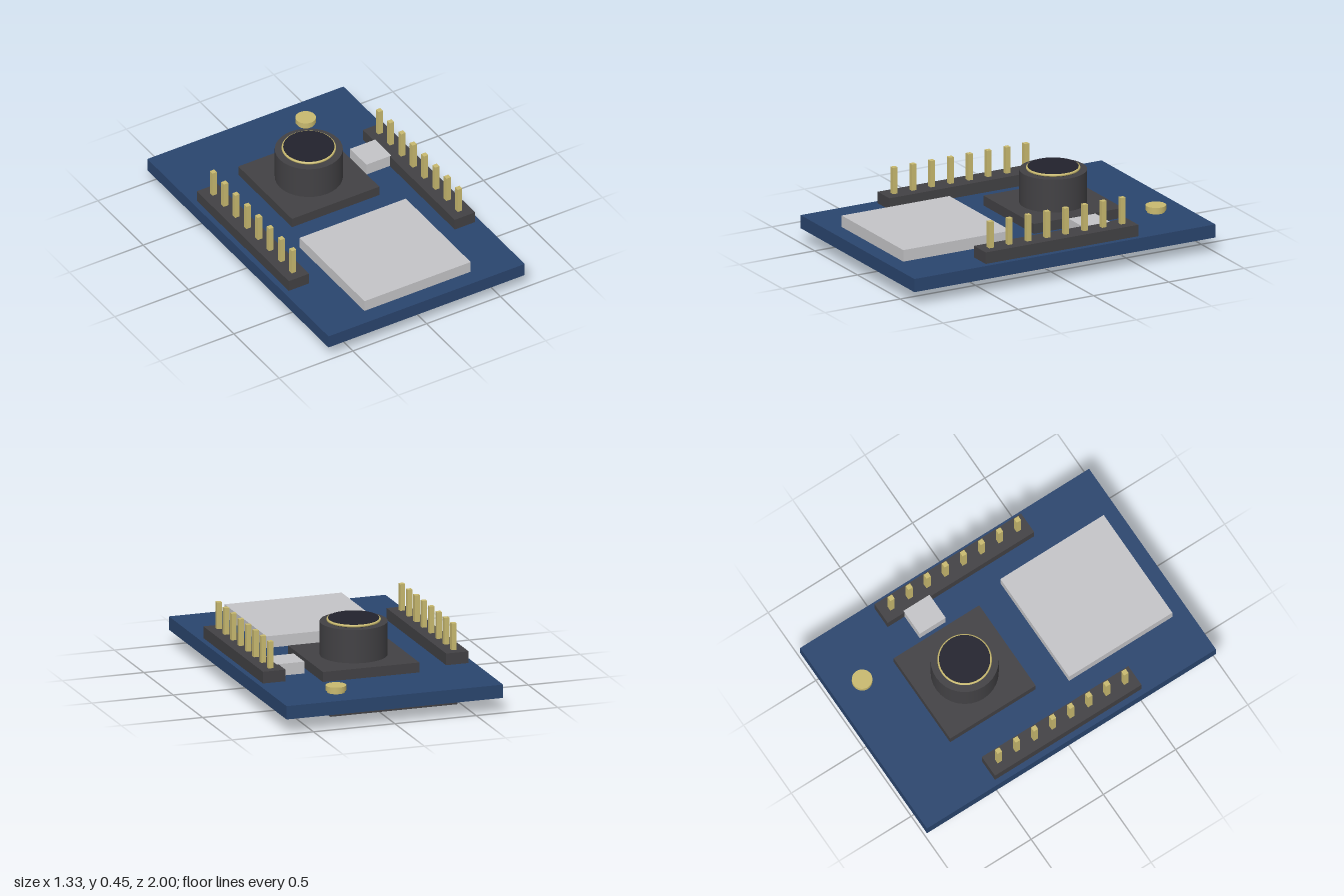
import * as THREE from 'three';

const mat = (name, color) => new THREE.MeshStandardMaterial({ name, color });

export function createModel() {
  const blue = mat('board blue', 0x2a456e);
  const silver = mat('silver', 0xc4c4c7);
  const dark = mat('dark plastic', 0x424144);
  const gold = mat('gold', 0xc8b96f);
  const glass = mat('lens glass', 0x22222d);

  const model = new THREE.Group();
  model.name = 'cameraBoard';

  const add = (name, geometry, material, x = 0, y = 0, z = 0, parent = model) => {
    const mesh = new THREE.Mesh(geometry, material);
    mesh.name = name;
    mesh.position.set(x, y, z);
    parent.add(mesh);
    return mesh;
  };
  // Box given by its extents on each axis
  const box = (name, material, [x0, x1], [y0, y1], [z0, z1], parent = model) =>
    add(name, new THREE.BoxGeometry(x1 - x0, y1 - y0, z1 - z0), material,
      (x0 + x1) / 2, (y0 + y1) / 2, (z0 + z1) / 2, parent);

  // Circuit board and the parts under it
  box('board', blue, [-0.665, 0.665], [0.09, 0.17], [-1, 1]);
  box('cardSlot', silver, [-0.445, 0.445], [0, 0.09], [-0.59, 0.3]);
  box('antennaPlate', dark, [-0.39, 0.39], [0.075, 0.09], [-0.985, -0.74]);

  // Parts lying on top
  box('shieldCan', silver, [-0.36, 0.36], [0.17, 0.24], [0.185, 0.9]);
  box('sideConnector', silver, [0.335, 0.505], [0.17, 0.241], [-0.39, -0.21]);

  // Camera: square base, barrel, gold rim and lens
  const camera = new THREE.Group();
  camera.name = 'camera';
  camera.position.z = -0.3;
  model.add(camera);
  box('cameraBase', dark, [-0.296, 0.296], [0.17, 0.23], [-0.296, 0.296], camera);
  add('barrel', new THREE.CylinderGeometry(0.197, 0.197, 0.2, 32), dark, 0, 0.33, 0, camera);
  add('lensRim', new THREE.TorusGeometry(0.15, 0.008, 8, 48), gold, 0, 0.44, 0, camera)
    .rotation.x = Math.PI / 2;
  add('lens', new THREE.CylinderGeometry(0.148, 0.148, 0.02, 48), glass, 0, 0.44, 0, camera);

  // Pin headers along both long sides
  for (const side of [-1, 1]) {
    const header = new THREE.Group();
    header.name = side > 0 ? 'leftHeader' : 'rightHeader';
    header.position.x = side * 0.5625;
    model.add(header);
    box('headerStrip', dark, [-0.069, 0.069], [0.17, 0.24], [-0.507, 0.507], header);
    for (let i = 0; i < 8; i++) {
      const z = -0.4375 + i * 0.125;
      box('pin', gold, [-0.015, 0.015], [0.24, 0.4], [z - 0.015, z + 0.015], header);
    }
  }

  // Round antenna socket with a slightly wider cap
  add('socketStem', new THREE.CylinderGeometry(0.052, 0.052, 0.02, 24), gold, 0.295, 0.18, -0.815);
  add('socketCap', new THREE.CylinderGeometry(0.06, 0.06, 0.03, 24), gold, 0.295, 0.197, -0.815);

  return model;
}
